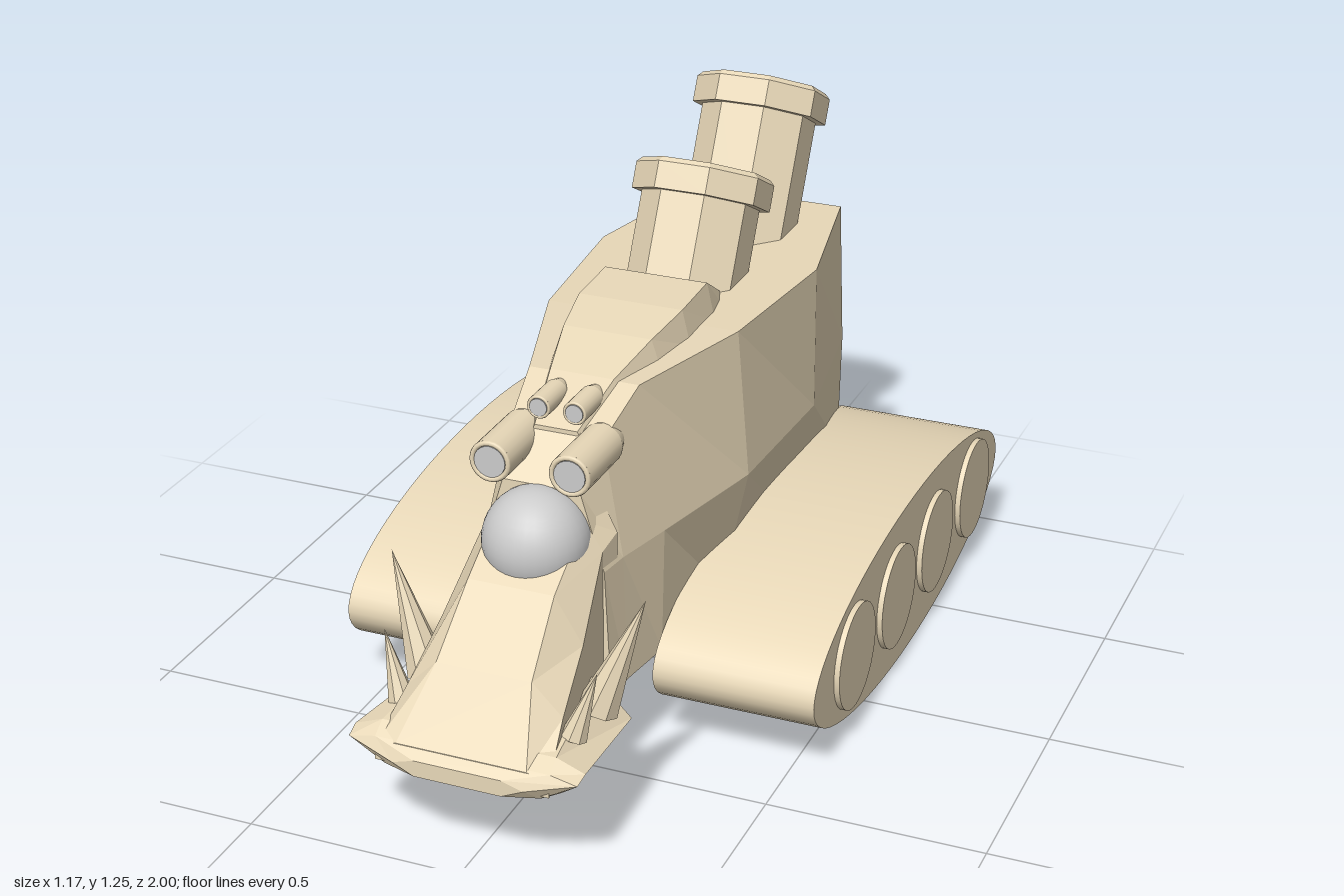
import * as THREE from 'three';

const tan = new THREE.MeshStandardMaterial({ color: 0xe8d8b8 });
const tanFlat = new THREE.MeshStandardMaterial({ color: 0xe8d8b8, flatShading: true });
const tanOpen = new THREE.MeshStandardMaterial({ color: 0xe8d8b8, flatShading: true, side: THREE.DoubleSide });
const grey = new THREE.MeshStandardMaterial({ color: 0xcccccc });

function add(parent, name, geometry, material, x = 0, y = 0, z = 0) {
  const mesh = new THREE.Mesh(geometry, material);
  mesh.name = name;
  mesh.position.set(x, y, z);
  parent.add(mesh);
  return mesh;
}

// Skin rings of [x, y, z] (counter-clockwise from the front, back to front) and cap both ends
function loft(rings) {
  const pos = [];
  const tri = (a, b, c) => pos.push(...a, ...b, ...c);
  const n = rings[0].length;
  for (let i = 0; i < rings.length - 1; i++) {
    for (let j = 0; j < n; j++) {
      const k = (j + 1) % n;
      const [a, b, c, d] = [rings[i][j], rings[i][k], rings[i + 1][k], rings[i + 1][j]];
      tri(a, b, c);
      tri(a, c, d);
    }
  }
  const back = rings[0], front = rings[rings.length - 1];
  for (let j = 1; j < n - 1; j++) {
    tri(back[0], back[j + 1], back[j]);
    tri(front[0], front[j], front[j + 1]);
  }
  const g = new THREE.BufferGeometry();
  g.setAttribute('position', new THREE.Float32BufferAttribute(pos, 3));
  g.computeVertexNormals();
  return g;
}

// Symmetric ring from half-width/height pairs listed bottom to top
function ring(z, ...pairs) {
  const right = pairs.map(([x, y]) => [x, y, z]);
  const left = pairs.map(([x, y]) => [-x, y, z]).reverse();
  return [...right, ...left];
}

// Cylinder or cone running along z, front end at +z
const alongZ = (rFront, rBack, length) =>
  new THREE.CylinderGeometry(rFront, rBack, length, 20).rotateX(Math.PI / 2);
const alongX = (r, length) => new THREE.CylinderGeometry(r, r, length, 40).rotateZ(Math.PI / 2);

function makeHorn(parent, name, radius, base, tip) {
  const a = new THREE.Vector3(...base), b = new THREE.Vector3(...tip);
  const dir = b.clone().sub(a);
  const horn = add(parent, name, new THREE.ConeGeometry(radius, dir.length(), 8), tanFlat);
  horn.position.copy(a).add(b).multiplyScalar(0.5);
  horn.quaternion.setFromUnitVectors(new THREE.Vector3(0, 1, 0), dir.normalize());
}

function makeBarrel(parent, y, z, length) {
  const profile = [
    [0.14, -length], [0.14, -0.075], [0.164, -0.075], [0.164, -0.012], [0.152, 0],
    [0.128, 0], [0.105, -0.03], [0.105, -length],
  ].map(([r, h]) => new THREE.Vector2(r, h));
  const geometry = new THREE.LatheGeometry(profile, 8).rotateY(Math.PI / 8);
  add(parent, 'barrel', geometry, tanOpen, 0, y, z).rotation.x = -0.48;
}

function makeEye(parent, name, r, x, y, front, straight, tail) {
  const eye = new THREE.Group();
  eye.name = name;
  add(eye, 'eyeTube', alongZ(r, r, straight), tan, x, y, front - straight / 2);
  add(eye, 'eyeTail', alongZ(r, r * 0.2, tail), tan, x, y, front - straight - tail / 2);
  add(eye, 'eyeRim', new THREE.TorusGeometry(r * 0.87, r * 0.13, 8, 24), tan, x, y, front);
  add(eye, 'eyeLens', alongZ(r * 0.75, r * 0.75, 0.004), grey, x, y, front + 0.002);
  parent.add(eye);
}

export function createModel() {
  const model = new THREE.Group();

  // Hull: [z, bottom half-width, middle half-width, top half-width, top height]
  const hull = [
    [-0.82, 0.2, 0.205, 0.19, 0.88],
    [-0.41, 0.2, 0.275, 0.272, 0.88],
    [0, 0.2, 0.262, 0.232, 0.88],
    [0.33, 0.185, 0.19, 0.13, 0.87],
    [0.48, 0.165, 0.155, 0.11, 0.8],
    [0.56, 0.16, 0.145, 0.09, 0.71],
  ].map(([z, b, m, t, y]) => ring(z, [b, 0.23], [m, Math.min(0.53, y - 0.1)], [t, y]));
  hull[1][4][0] = -0.32; // the right flank bulges further
  add(model, 'hull', loft(hull), tanFlat);

  // Raised spine running down the back to the brow
  const spine = [
    [-0.2, 0.11, 0.881], [-0.08, 0.125, 0.95], [0.07, 0.125, 0.942], [0.2, 0.105, 0.92],
    [0.34, 0.075, 0.878], [0.48, 0.05, 0.81],
  ].map(([z, w, y]) => ring(z, [w + 0.02, Math.min(0.86, y - 0.05)], [w, y]));
  add(model, 'spine', loft(spine), tanFlat);

  // Snout: [z, crease half-width, crease height, top half-width, top height]
  const snout = [
    [0.5, 0.15, 0.6, 0.11, 0.68],
    [0.56, 0.142, 0.58, 0.1, 0.645],
    [0.72, 0.165, 0.44, 0.1, 0.545],
    [0.86, 0.18, 0.345, 0.11, 0.415],
    [0.98, 0.2, 0.26, 0.15, 0.275],
  ].map(([z, b, yc, a, yt]) => ring(z, [b, 0.225], [b, yc], [a, yt]));
  add(model, 'snout', loft(snout), tanFlat);

  // Flared jaw plate
  const jaw = [
    [0.66, 0.22, 0.25, 0.25, 0.17, 0.33],
    [0.94, 0.21, 0.265, 0.275, 0.2, 0.3],
    [0.975, 0.18, 0.262, 0.265, 0.2, 0.278],
    [1.0, 0.1, 0.15, 0.24, 0.1, 0.255],
  ].map(([z, b, m, ym, t, yt]) => ring(z, [b, 0.217], [m, ym], [t, yt]));
  add(model, 'jaw', loft(jaw), tanFlat);

  // Big central eye
  add(model, 'centralEye', new THREE.SphereGeometry(0.12, 32, 20), grey, 0, 0.595, 0.585);

  // Gun barrels, open at the muzzle
  makeBarrel(model, 1.1, -0.39, 0.31);
  makeBarrel(model, 1.19, -0.775, 0.41);

  for (const side of [1, -1]) {
    // Track with road wheels
    const track = new THREE.Group();
    track.name = side > 0 ? 'leftTrack' : 'rightTrack';
    model.add(track);
    const belt = new THREE.CylinderGeometry(0.2, 0.2, 0.38, 64).rotateZ(Math.PI / 2).scale(1, 1, 3.495);
    add(track, 'belt', belt, tan, side * 0.38, 0.2, -0.3);
    for (const z of [0.14, -0.16, -0.46, -0.77]) {
      add(track, 'roadWheel', alongX(0.126, 0.03), tan, side * 0.568, 0.2, z);
    }

    // Small wheel under the snout
    add(model, 'frontWheel', alongX(0.126, 0.08), tan, side * 0.083, 0.2, 0.69);

    // Tubular eyes
    makeEye(model, 'largeEye', 0.048, side * 0.092, 0.775, 0.615, 0.17, 0.12);
    makeEye(model, 'smallEye', 0.027, side * 0.042, 0.85, 0.475, 0.09, 0.07);

    // Tusks on the jaw
    makeHorn(model, 'largeTusk', 0.047, [side * 0.2, 0.3, 0.725], [side * 0.295, 0.56, 0.69]);
    makeHorn(model, 'smallTusk', 0.03, [side * 0.2, 0.3, 0.85], [side * 0.245, 0.45, 0.83]);
  }
  return model;
}
